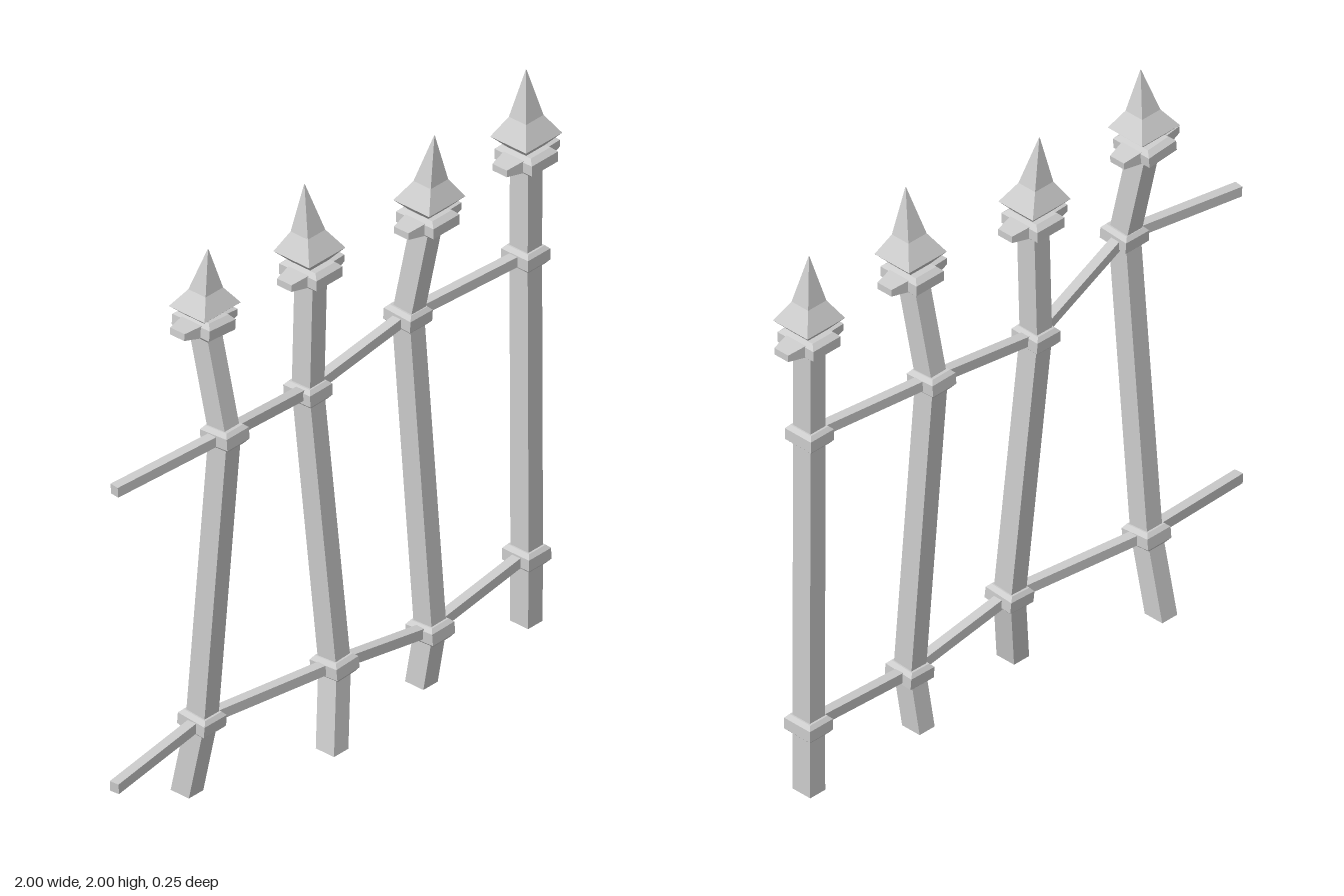
import * as THREE from 'three';

const mat = new THREE.MeshStandardMaterial({ color: 0xcccccc, flatShading: true });
const V = (x, y, z) => new THREE.Vector3(x, y, z);
const UP = V(0, 1, 0);

// Square-section loft: each section is [x, y, z, halfX, halfZ], listed from bottom to top
function loft(sections) {
  const pos = [];
  const rings = sections.map(([x, y, z, a, b]) => [
    [x - a, y, z + b], [x + a, y, z + b], [x + a, y, z - b], [x - a, y, z - b],
  ]);
  const quad = (a, b, c, d) => pos.push(...a, ...b, ...c, ...a, ...c, ...d);
  for (let i = 0; i < rings.length - 1; i++) {
    for (let k = 0; k < 4; k++) {
      const n = (k + 1) % 4;
      quad(rings[i][k], rings[i][n], rings[i + 1][n], rings[i + 1][k]);
    }
  }
  const [a, b, c, d] = rings[0];
  quad(d, c, b, a);
  quad(...rings[rings.length - 1]);
  const g = new THREE.BufferGeometry();
  g.setAttribute('position', new THREE.Float32BufferAttribute(pos, 3));
  g.computeVertexNormals();
  return g;
}

function add(parent, name, geometry) {
  const m = new THREE.Mesh(geometry, mat);
  m.name = name;
  parent.add(m);
  return m;
}

// Chamfered clamp where a rail meets a post
const bandGeo = loft([
  [0, -0.033, 0, 0.038, 0.045], [0, -0.02, 0, 0.051, 0.056],
  [0, 0.02, 0, 0.051, 0.056], [0, 0.033, 0, 0.038, 0.045],
]);
// Collar block and its tapered side wing
const collarGeo = loft([
  [0, -0.033, 0, 0.045, 0.06], [0, -0.018, 0, 0.06, 0.078],
  [0, 0.018, 0, 0.06, 0.078], [0, 0.033, 0, 0.045, 0.06],
]);
const wingGeo = loft([[0, 0.04, 0, 0.024, 0.045], [0, 0.122, 0, 0.012, 0.03]]);

// Rail bar between two points
function rail(parent, name, a, b) {
  const dir = b.clone().sub(a);
  const m = add(parent, name, new THREE.BoxGeometry(0.034, 0.036, dir.length()));
  m.position.copy(a).add(b).multiplyScalar(0.5);
  m.lookAt(b);
}

// Bent posts: foot, lower clamp, upper clamp, collar, tip
const posts = [
  { foot: V(-0.56, 0, -0.088), low: V(-0.555, 0.28, -0.03), high: V(-0.555, 1.355, 0.065),
    collar: V(-0.56, 1.73, -0.018), tip: V(-0.56, 2, 0.0), tilt: -0.08 },
  { foot: V(-0.08, 0, 0.08), low: V(-0.03, 0.272, 0.045), high: V(-0.075, 1.257, -0.025),
    collar: V(-0.067, 1.69, -0.02), tip: V(-0.08, 2, -0.035), tilt: 0 },
  { foot: V(0.395, 0, 0.02), low: V(0.405, 0.2, 0.048), high: V(0.383, 1.32, -0.025),
    collar: V(0.4, 1.69, 0.042), tip: V(0.4, 2, 0.07), tilt: 0 },
  { foot: V(0.875, 0, 0.02), low: V(0.875, 0.245, 0.022), high: V(0.873, 1.332, 0.02),
    collar: V(0.875, 1.69, 0.02), tip: V(0.875, 2, 0.02), tilt: 0 },
];

export function createModel() {
  const fence = new THREE.Group();
  fence.name = 'ironFence';

  for (const p of posts) {
    const g = new THREE.Group();
    g.name = 'fencePost';
    fence.add(g);

    add(g, 'postShaft', loft([p.foot, p.low, p.high, p.collar]
      .map((v) => [v.x, v.y, v.z, 0.033, 0.038])));

    // Clamps lean with the shaft and the rails
    const slope = V().subVectors(p.high, p.low).normalize();
    const topSlope = V().subVectors(p.collar, p.high).normalize();
    const clamps = [
      ['lowerClamp', p.low, slope],
      ['upperClamp', p.high, slope.clone().add(topSlope).normalize()],
    ];
    for (const [name, at, dir] of clamps) {
      const m = add(g, name, bandGeo);
      m.position.copy(at);
      m.quaternion.setFromUnitVectors(UP, dir);
    }

    // Collar with a wing on each side
    const collar = new THREE.Group();
    collar.name = 'collar';
    collar.position.copy(p.collar);
    collar.rotation.z = p.tilt;
    add(collar, 'collarBlock', collarGeo);
    for (const s of [-1, 1]) add(collar, 'collarWing', wingGeo).rotation.z = -s * Math.PI / 2;
    g.add(collar);

    // Four-sided spear point: [fraction of height, half width]
    const profile = [[0.07, 0.032], [0.24, 0.083], [0.46, 0.04], [1, 0.001]];
    add(g, 'spearPoint', loft(profile.map(([t, w]) => {
      const c = p.collar.clone().lerp(p.tip, t);
      return [c.x, c.y, c.z, w, w * 0.9];
    })));
  }

  // Two rails running from the open end through every clamp
  const rails = [
    ['lowerRail', [V(-1, 0.252, 0.01), ...posts.map((p) => p.low)]],
    ['upperRail', [V(-1, 1.33, 0.01), ...posts.map((p) => p.high)]],
  ];
  for (const [name, pts] of rails) {
    for (let i = 0; i < pts.length - 1; i++) rail(fence, name, pts[i], pts[i + 1]);
  }
  return fence;
}
